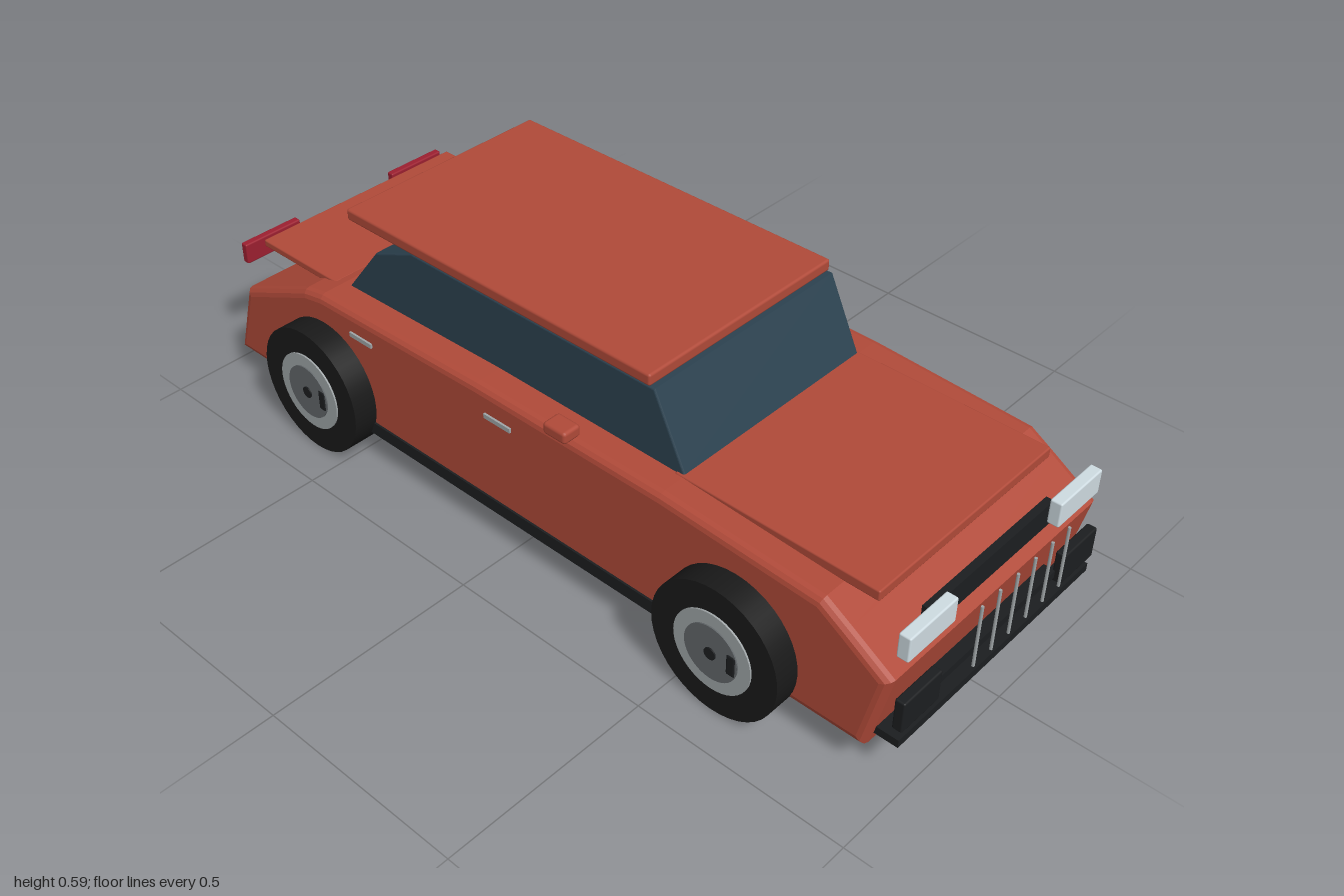
import * as THREE from 'three';
import { RoundedBoxGeometry } from 'three/addons/geometries/RoundedBoxGeometry.js';

const mat = (color) => new THREE.MeshStandardMaterial({ color });
const paint = mat(0xb04a39), glass = mat(0x2c4250), black = mat(0x1c1e20), rubber = mat(0x191919);
const silver = mat(0xa0a6a8), steel = mat(0x63686b), lamp = mat(0xcfdce2), red = mat(0x9c1f30);

export function createModel() {
  const car = new THREE.Group();
  car.name = 'car';

  const add = (name, geometry, material, parent = car) => {
    const mesh = new THREE.Mesh(geometry, material);
    mesh.name = name;
    parent.add(mesh);
    return mesh;
  };
  // Box given by its limits on each axis, optionally with rounded edges
  const box = (name, material, [x0, x1], [y0, y1], [z0, z1], r = 0) => {
    const size = [x1 - x0, y1 - y0, z1 - z0];
    const g = r ? new RoundedBoxGeometry(...size, 2, r) : new THREE.BoxGeometry(...size);
    g.translate((x0 + x1) / 2, (y0 + y1) / 2, (z0 + z1) / 2);
    return add(name, g, material);
  };
  // The same box on both sides of the car
  const pair = (name, material, xs, ys, [z0, z1], r) => {
    box(name + 'Near', material, xs, ys, [z0, z1], r);
    box(name + 'Far', material, xs, ys, [-z1, -z0], r);
  };
  // Side profile extruded across the car, with rounded side edges
  const slab = (name, material, points, halfWidth, bevel) => {
    const shape = new THREE.Shape(points.map(([x, y]) => new THREE.Vector2(x, y)));
    const depth = 2 * (halfWidth - bevel);
    const g = new THREE.ExtrudeGeometry(shape, {
      depth, bevelEnabled: bevel > 0, bevelSize: bevel, bevelThickness: bevel,
      bevelOffset: -bevel, bevelSegments: 3,
    });
    g.translate(0, 0, -depth / 2);
    return add(name, g, material);
  };

  // Body, cabin and panels
  slab('body', paint, [
    [-0.943, 0.078], [0.92, 0.078], [0.962, 0.27], [0.86, 0.335], [0.8, 0.372],
    [0.41, 0.392], [-0.1, 0.394], [-0.6, 0.382], [-0.66, 0.37], [-0.885, 0.27],
  ], 0.35, 0.02);
  slab('cabinGlass', glass, [
    [-0.59, 0.37], [0.415, 0.37], [0.41, 0.395], [0.33, 0.56], [-0.36, 0.56], [-0.48, 0.51],
  ], 0.275, 0.004);
  box('roof', paint, [-0.565, 0.32], [0.56, 0.588], [-0.277, 0.277], 0.006);
  box('hood', paint, [0.39, 0.878], [0.37, 0.395], [-0.28, 0.28], 0.004);
  box('trunkLid', paint, [-0.88, -0.62], [0.36, 0.378], [-0.285, 0.285], 0.004);

  // Side trim
  pair('sill', black, [-0.46, 0.48], [0.08, 0.112], [0.33, 0.355]);
  pair('mirror', paint, [0.13, 0.192], [0.407, 0.436], [0.333, 0.38], 0.008);
  pair('rearHandle', silver, [-0.497, -0.426], [0.325, 0.336], [0.342, 0.355]);
  pair('frontHandle', silver, [-0.07, 0.007], [0.325, 0.336], [0.342, 0.355]);

  // Nose
  pair('headlight', lamp, [0.948, 0.975], [0.311, 0.37], [0.171, 0.318], 0.004);
  box('grille', black, [0.922, 0.94], [0.284, 0.34], [-0.206, 0.206]);
  box('grilleBase', black, [0.93, 0.968], [0.154, 0.172], [-0.21, 0.21]);
  pair('foglight', black, [0.962, 0.985], [0.145, 0.22], [0.208, 0.326], 0.004);
  box('frontBumper', black, [0.915, 0.98], [0.103, 0.122], [-0.324, 0.324]);
  for (let i = 0; i < 6; i++) {
    const bar = add('grilleBar', new THREE.CylinderGeometry(0.0035, 0.0035, 0.152, 8), silver);
    bar.position.set(0.995, 0.247, 0.118 - i * 0.059);
  }

  // Tail
  pair('tailLight', red, [-0.947, -0.928], [0.298, 0.35], [0.145, 0.305], 0.004);
  box('rearBumper', black, [-0.96, -0.92], [0.108, 0.14], [-0.295, 0.295]);
  for (const z of [-0.202, 0.202]) {
    const pipe = add('exhaust', new THREE.CylinderGeometry(0.019, 0.019, 0.045, 20), steel);
    pipe.rotation.x = Math.PI / 2;
    pipe.position.set(-0.981, 0.136, z);
  }

  // Wheels: each disc is [name, radius, inner z, outer z, material]
  const discs = [
    ['tyre', 0.157, -0.046, 0.046, rubber],
    ['rim', 0.096, 0, 0.05, silver],
    ['hubDisc', 0.066, 0, 0.053, steel],
    ['hubCap', 0.014, 0, 0.056, black],
  ];
  for (const x of [-0.592, 0.607]) {
    for (const side of [1, -1]) {
      const wheel = new THREE.Group();
      wheel.name = 'wheel';
      wheel.position.set(x, 0.157, side * 0.364);
      for (const [name, r, z0, z1, m] of discs) {
        const g = new THREE.CylinderGeometry(r, r, z1 - z0, 40);
        g.rotateX(Math.PI / 2).translate(0, 0, side * (z0 + z1) / 2);
        add(name, g, m, wheel);
      }
      const slot = add('rimSlot', new RoundedBoxGeometry(0.024, 0.054, 0.02, 2, 0.006), black, wheel);
      slot.position.set(0.05, 0, side * 0.045);
      car.add(wheel);
    }
  }
  return car;
}
